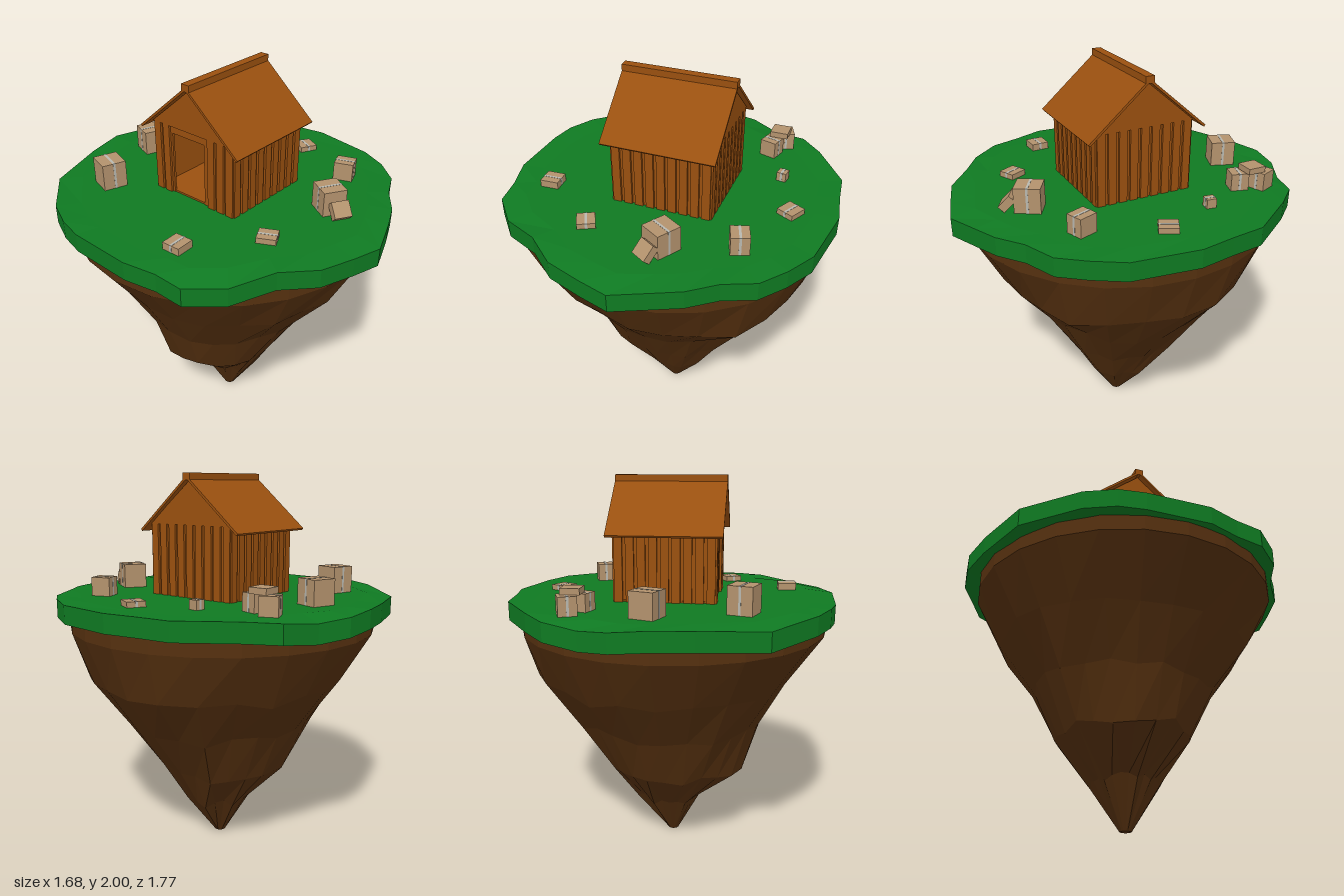
import * as THREE from 'three';

const mat = (color, double = false) => new THREE.MeshStandardMaterial({
  color, flatShading: true, side: double ? THREE.DoubleSide : THREE.FrontSide });
const dirtMat = mat(0x55300f), grassMat = mat(0x0f7a22), woodMat = mat(0x9a500f);
const cardMat = mat(0xb3926d), tapeMat = mat(0xb8b8b0);
const GROUND = 1.388;

function add(parent, name, geometry, material, x = 0, y = 0, z = 0) {
  const m = new THREE.Mesh(geometry, material);
  m.name = name;
  m.position.set(x, y, z);
  parent.add(m);
  return m;
}
const box = (w, h, d) => new THREE.BoxGeometry(w, h, d);

// Skin closed rings of equal length, listed from bottom to top (angle runs +x to +z)
function skin(rings) {
  const n = rings[0].length, index = [];
  for (let r = 0; r < rings.length - 1; r++) {
    for (let i = 0; i < n; i++) {
      const a = r * n + i, b = r * n + (i + 1) % n;
      index.push(a, a + n, b, b, a + n, b + n);
    }
  }
  const g = new THREE.BufferGeometry();
  g.setAttribute('position', new THREE.Float32BufferAttribute(rings.flat(2), 3));
  g.setIndex(index);
  g.computeVertexNormals();
  return g;
}

// Rocky underside: each level gives y and the reach along +x, +z, -x, -z
function rock() {
  let seed = 7;
  const rnd = () => (seed = (seed * 16807) % 2147483647) / 2147483647 - 0.5;
  const levels = [
    [0, 0.001, 0.001, 0.001, 0.001], [0, 0.03, 0.03, 0.03, 0.03],
    [0.235, 0.20, 0.17, 0.16, 0.17], [0.45, 0.335, 0.30, 0.395, 0.365],
    [0.71, 0.53, 0.45, 0.49, 0.49], [0.95, 0.71, 0.65, 0.62, 0.66],
    [1.22, 0.80, 0.79, 0.81, 0.82], [1.31, 0.80, 0.79, 0.81, 0.82],
  ];
  const n = 24;
  return skin(levels.map(([y, ...reach], k) => {
    const rough = k > 1 && k < 6 ? 1 : 0;
    return Array.from({ length: n }, (_, i) => {
      const t = (i / n) * Math.PI * 2, q = Math.floor(i / (n / 4));
      const s = Math.sin(t - q * Math.PI / 2) ** 2;
      const bump = i % (n / 4) ? rough : 0;
      const r = (reach[q] * (1 - s) + reach[(q + 1) % 4] * s) * (1 + bump * rnd() * 0.07);
      return [Math.cos(t) * r, y + bump * rnd() * 0.05, Math.sin(t) * r];
    });
  }));
}

// Grass slab: rim points are x, z and the height of the upper edge
function grass() {
  const rim = [
    [0.84, 0, 1.39], [0.79, 0.33, 1.385], [0.71, 0.48, 1.39], [0.61, 0.6, 1.385],
    [0.46, 0.67, 1.39], [0.33, 0.765, 1.385], [0.2, 0.82, 1.38], [0.02, 0.885, 1.365],
    [-0.13, 0.845, 1.37], [-0.31, 0.79, 1.38], [-0.46, 0.665, 1.39], [-0.66, 0.56, 1.365],
    [-0.79, 0.41, 1.365], [-0.8, 0.27, 1.38], [-0.84, 0.11, 1.39], [-0.83, -0.22, 1.39],
    [-0.8, -0.35, 1.395], [-0.73, -0.5, 1.39], [-0.52, -0.745, 1.37], [-0.2, -0.845, 1.385],
    [0.01, -0.89, 1.39], [0.17, -0.875, 1.375], [0.32, -0.8, 1.36], [0.5, -0.735, 1.38],
    [0.62, -0.6, 1.39], [0.79, -0.35, 1.39], [0.81, -0.18, 1.39],
  ];
  const ring = (s, f) => rim.map(([x, z, y]) => [x * s, f(y), z * s]);
  return skin([
    ring(0.85, () => 1.3), ring(1, y => y - 0.095), ring(1, y => y),
    ring(0.86, () => GROUND), ring(0, () => GROUND),
  ]);
}

// Vertical planks between a and b, leaving out an optional gap
function planks(parent, a, b, place, gap) {
  const n = 9, step = (b - a) / n;
  for (let i = 0; i < n; i++) {
    const c = a + step * (i + 0.5);
    if (gap && c > gap[0] && c < gap[1]) continue;
    place(c, step * 0.72);
  }
}

function house() {
  const g = new THREE.Group();
  g.name = 'house';
  const x0 = -0.25, x1 = 0.27, z0 = -0.28, z1 = 0.24, eave = 1.75;
  const base = 1.38, zc = -0.025, xc = 0.01, t = 0.012, h = eave - base;
  const door = [-0.16, 0.045];

  // Long walls
  for (const s of [1, -1]) {
    const z = s > 0 ? z1 : z0;
    add(g, 'sideWall', box(x1 - x0 - 2 * t, h, t), woodMat, xc, base + h / 2, z - s * 1.5 * t);
    planks(g, x0, x1, (c, w) => add(g, 'sidePlank', box(w, h, t), woodMat, c, base + h / 2, z - s * t / 2));
  }

  // Gable walls, the one at -x with a doorway
  for (const s of [1, -1]) {
    const x = s > 0 ? x1 : x0;
    const a = z0 + t, b = z1 - t;
    const pts = [[a, base], [a, eave], [zc, 1.965], [b, eave], [b, base]];
    if (s < 0) pts.push([door[1], base], [door[1], 1.71], [door[0], 1.71], [door[0], base]);
    const shape = new THREE.Shape(pts.map(p => new THREE.Vector2(-p[0], p[1])));
    const geo = new THREE.ExtrudeGeometry(shape, { depth: t, bevelEnabled: false });
    geo.rotateY(Math.PI / 2);
    add(g, 'gableWall', geo, woodMat, s > 0 ? x - 2 * t : x + t);
    planks(g, z0, z1, (c, w) => add(g, 'gablePlank', box(t, h, w), woodMat, x - s * t / 2, base + h / 2, c),
      s < 0 ? door : null);
    const tri = new THREE.Shape([[-z1, eave], [-z0, eave], [-zc, 1.965]].map(p => new THREE.Vector2(...p)));
    const triGeo = new THREE.ExtrudeGeometry(tri, { depth: t, bevelEnabled: false });
    triGeo.rotateY(Math.PI / 2);
    add(g, 'gableTop', triGeo, woodMat, s > 0 ? x - t : x);
  }
  add(g, 'floor', box(x1 - x0 - 0.03, 0.015, z1 - z0 - 0.03), woodMat, xc, 1.39, zc);

  // Roof slopes and ridge cap
  const run = 0.308, drop = 0.262, len = Math.hypot(run, drop);
  for (const s of [1, -1]) {
    const slope = add(g, 'roofSlope', box(0.575, 0.012, len), woodMat, 0.0075, 1.979 - drop / 2, zc + s * run / 2);
    slope.rotation.x = s * Math.atan2(drop, run);
  }
  add(g, 'ridgeCap', box(0.575, 0.035, 0.046), woodMat, 0.0075, 1.9825, zc);
  return g;
}

// Cardboard box wrapped by one strip of tape along local x or z
function carton(name, x, z, w, h, d, deg, tape, y = GROUND) {
  const g = new THREE.Group();
  g.name = name;
  add(g, 'cardboard', box(w, h, d), cardMat);
  const e = 0.002;
  if (tape === 'x') add(g, 'tape', box(w + e, h + e, 0.012), tapeMat);
  if (tape === 'z') add(g, 'tape', box(0.012, h + e, d + e), tapeMat);
  g.position.set(x, y + h / 2, z);
  g.rotation.order = 'YXZ';
  g.rotation.y = deg * Math.PI / 180;
  return g;
}

export function createModel() {
  const model = new THREE.Group();
  model.name = 'floatingIsland';
  add(model, 'rock', rock(), dirtMat);
  add(model, 'grass', grass(), grassMat);
  model.add(house());

  // Scattered cartons: x, z, width, height, depth, turn, tape
  const cartons = [
    [0.04, -0.615, 0.125, 0.127, 0.125, -20, 'x'], [-0.39, -0.475, 0.125, 0.137, 0.125, -18, 'z'],
    [0.13, 0.525, 0.12, 0.127, 0.13, -31, 'x'], [0.46, 0.4, 0.09, 0.095, 0.1, 20, 'z'],
    [0.61, 0.04, 0.095, 0.028, 0.095, -27, 'z'], [0.495, -0.255, 0.05, 0.047, 0.05, -8, 'z'],
    [0.37, -0.5, 0.09, 0.088, 0.09, -17, 'x'], [0.415, -0.61, 0.09, 0.092, 0.09, 22, 'z'],
    [-0.6, 0.21, 0.095, 0.037, 0.095, 3, 'x'], [-0.28, 0.47, 0.09, 0.028, 0.095, 27, 'z'],
  ];
  for (const c of cartons) model.add(carton('carton', ...c));
  model.add(carton('stackedCarton', 0.4, -0.56, 0.095, 0.03, 0.095, 0, null, 1.48));

  // Small carton leaning on a larger one
  const leaning = carton('leaningCarton', 0.09, 0.617, 0.09, 0.082, 0.042, -31, null, 1.39);
  leaning.rotation.x = -0.75;
  model.add(leaning);
  return model;
}
